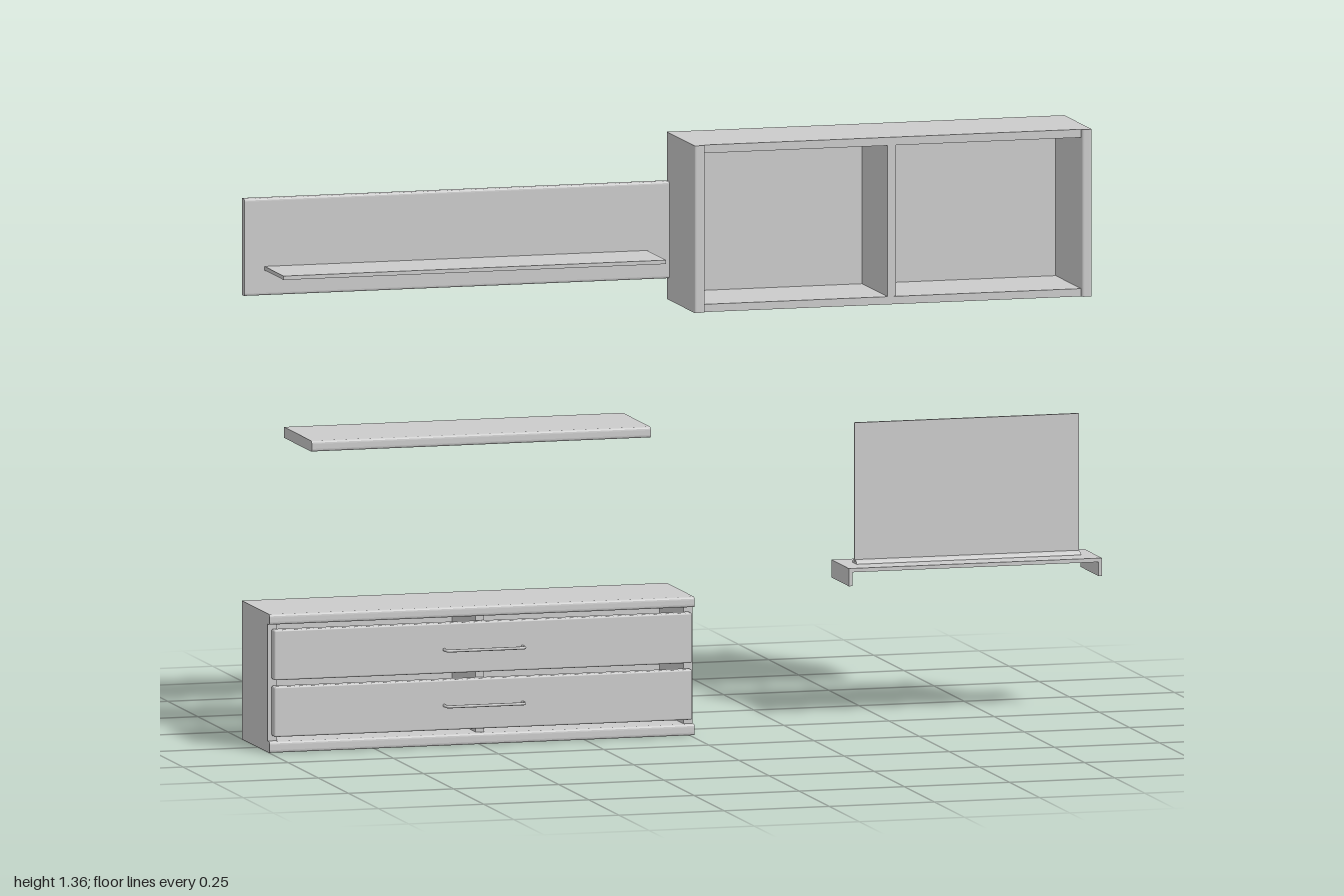
import * as THREE from 'three';
import { RoundedBoxGeometry } from 'three/addons/geometries/RoundedBoxGeometry.js';

const material = new THREE.MeshStandardMaterial({ color: 0xcccccc });
const BACK = -0.134;

function add(parent, name, geometry) {
  const mesh = new THREE.Mesh(geometry, material);
  mesh.name = name;
  parent.add(mesh);
  return mesh;
}

function group(parent, name) {
  const g = new THREE.Group();
  g.name = name;
  parent.add(g);
  return g;
}

// Box given by its limits on each axis
function box(parent, name, [x0, x1], [y0, y1], [z0, z1], radius = 0) {
  const size = [x1 - x0, y1 - y0, z1 - z0];
  const geometry = radius ? new RoundedBoxGeometry(...size, 2, radius) : new THREE.BoxGeometry(...size);
  geometry.translate((x0 + x1) / 2, (y0 + y1) / 2, (z0 + z1) / 2);
  return add(parent, name, geometry);
}

// Board whose two long front edges are rounded; it runs along x, or along y if upright
function board(parent, name, [x0, x1], [y0, y1], [z0, z1], r, upright = false) {
  const [a0, a1] = upright ? [x0, x1] : [y0, y1];
  const shape = new THREE.Shape();
  shape.moveTo(a0, z0);
  shape.lineTo(a1, z0);
  shape.lineTo(a1, z1 - r);
  shape.quadraticCurveTo(a1, z1, a1 - r, z1);
  shape.lineTo(a0 + r, z1);
  shape.quadraticCurveTo(a0, z1, a0, z1 - r);
  const depth = upright ? y1 - y0 : x1 - x0;
  const geometry = new THREE.ExtrudeGeometry(shape, { depth, bevelEnabled: false, curveSegments: 4 });
  geometry.rotateX(Math.PI / 2);
  if (upright) geometry.translate(0, y1, 0);
  else geometry.rotateZ(Math.PI / 2).translate(x0, 0, 0);
  return add(parent, name, geometry);
}

// Bar handle with two short posts
function handle(parent, y) {
  const g = group(parent, 'handle');
  const [x0, x1, z0, z1, r] = [-0.588, -0.402, 0.1, 0.131, 0.0035];
  const path = new THREE.CurvePath();
  const points = [[x0, z0], [x0, z1 - 0.006], [x0 + 0.006, z1], [x1 - 0.006, z1], [x1, z1 - 0.006], [x1, z0]]
    .map(([x, z]) => new THREE.Vector3(x, y, z));
  const corners = [new THREE.Vector3(x0, y, z1), new THREE.Vector3(x1, y, z1)];
  path.add(new THREE.LineCurve3(points[0], points[1]));
  path.add(new THREE.QuadraticBezierCurve3(points[1], corners[0], points[2]));
  path.add(new THREE.LineCurve3(points[2], points[3]));
  path.add(new THREE.QuadraticBezierCurve3(points[3], corners[1], points[4]));
  path.add(new THREE.LineCurve3(points[4], points[5]));
  add(g, 'handleBar', new THREE.TubeGeometry(path, 120, r, 8));
}

function drawerUnit(root) {
  const g = group(root, 'drawerUnit');
  const x = [-1, 0.01];
  board(g, 'topBoard', x, [0.296, 0.32], [BACK, 0.097], 0.007);
  board(g, 'bottomBoard', x, [0, 0.026], [BACK, 0.097], 0.007);
  box(g, 'rightSide', [-1, -0.978], [0.026, 0.296], [BACK, 0.08]);
  box(g, 'leftSide', [-0.012, 0.01], [0.026, 0.296], [BACK, 0.08]);
  box(g, 'backPanel', [-0.978, -0.012], [0.026, 0.296], [BACK, BACK + 0.015]);
  box(g, 'centreDivider', [-0.505, -0.485], [0.026, 0.296], [BACK + 0.015, 0.078]);
  for (const [y0, y1, grip] of [[0.038, 0.154, 0.095], [0.169, 0.285, 0.224]]) {
    const drawer = group(g, 'drawer');
    box(drawer, 'drawerFront', [-0.992, 0.002], [y0, y1], [0.081, 0.107], 0.004);
    handle(drawer, grip);
  }
}

function wallCabinet(root) {
  const g = group(root, 'wallCabinet');
  const y = [0.976, 1.362], inner = [0.035, 0.931];
  board(g, 'rightSide', [0.01, 0.035], y, [BACK, 0.097], 0.006, true);
  board(g, 'leftSide', [0.931, 0.955], y, [BACK, 0.097], 0.006, true);
  box(g, 'topPanel', inner, [1.343, 1.362], [BACK, 0.089]);
  box(g, 'bottomPanel', inner, [0.976, 0.994], [BACK, 0.089]);
  box(g, 'divider', [0.471, 0.492], [0.994, 1.343], [BACK, 0.087]);
  box(g, 'backPanel', inner, [0.994, 1.343], [BACK, BACK + 0.012]);
}

function wallPanel(root) {
  const g = group(root, 'wallPanel');
  board(g, 'panel', [-1, 0.01], [1.026, 1.25], [BACK, -0.113], 0.006);
  box(g, 'panelShelf', [-0.952, -0.043], [1.084, 1.093], [-0.113, 0.045]);
}

function screenOnStand(root) {
  const g = group(root, 'screenOnStand');
  const z = [-0.113, 0.033];
  box(g, 'standTop', [0.395, 0.997], [0.352, 0.361], z);
  for (const x of [0.395, 0.988]) box(g, 'standLeg', [x, x + 0.009], [0.32, 0.352], z);
  // Low rounded foot under the screen
  const foot = new THREE.CylinderGeometry(1, 1, 0.533, 12, 1, false, 0, Math.PI);
  foot.rotateZ(Math.PI / 2).scale(1, 0.009, 0.018).translate(0.697, 0.361, -0.044);
  add(g, 'screenFoot', foot);
  box(g, 'screen', [0.43, 0.963], [0.365, 0.686], [-0.048, -0.041]);
}

export function createModel() {
  const root = new THREE.Group();
  root.name = 'wallUnit';
  drawerUnit(root);
  wallCabinet(root);
  wallPanel(root);
  board(root, 'floatingShelf', [-0.9, -0.094], [0.692, 0.717], [BACK, 0.097], 0.007);
  screenOnStand(root);
  return root;
}
